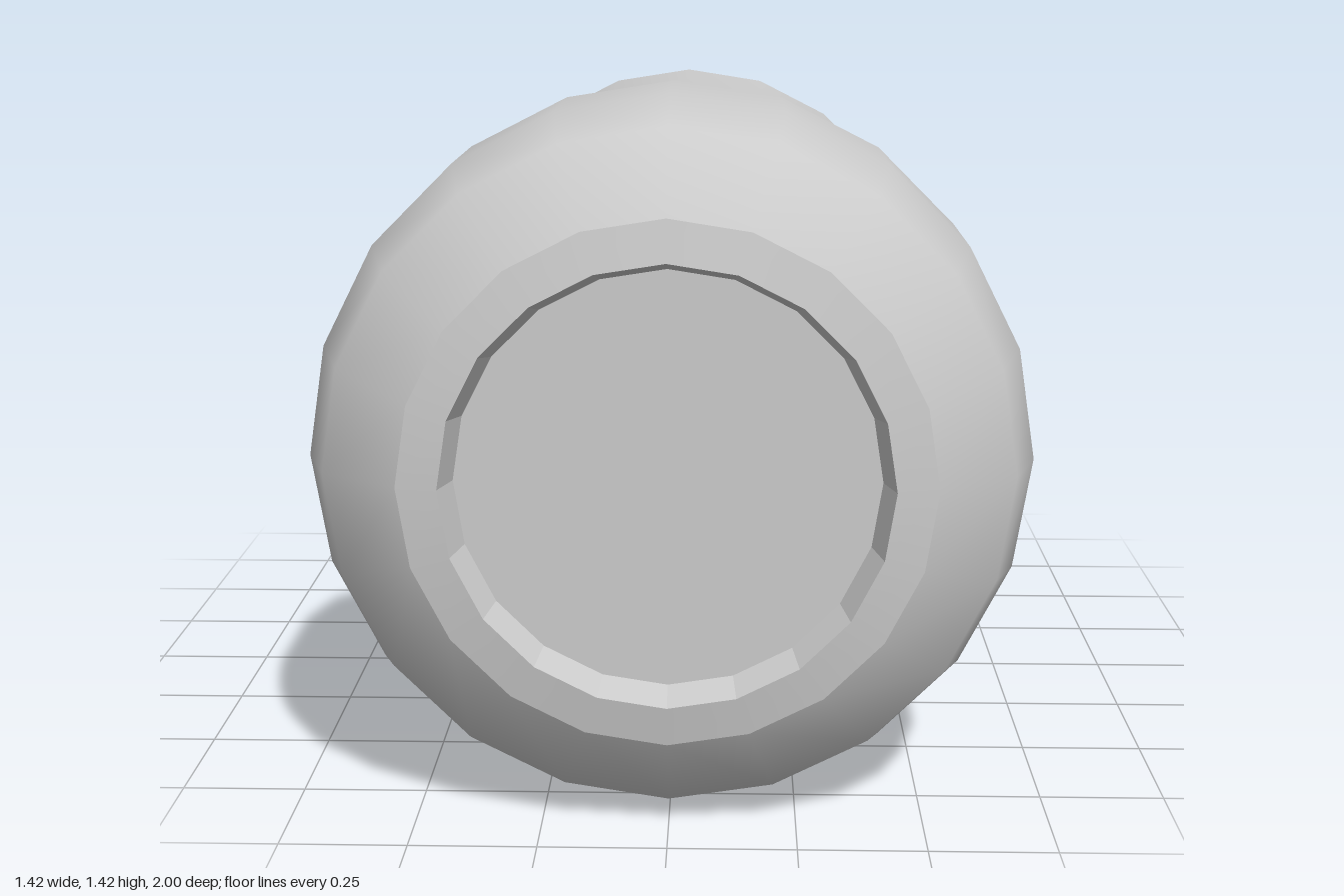
import * as THREE from 'three';

const SIDES = 20;
const CENTRE_Y = 0.713;

// Revolves [radius, z] points around the z axis, listed from back to front.
function turned(name, profile, flatShading = false) {
  const geometry = new THREE.LatheGeometry(profile.map(([r, z]) => new THREE.Vector2(r, z)), SIDES);
  geometry.rotateX(Math.PI / 2);
  const mesh = new THREE.Mesh(geometry, new THREE.MeshStandardMaterial({ color: 0xcccccc, flatShading }));
  mesh.name = name;
  mesh.position.y = CENTRE_Y;
  return mesh;
}

export function createModel() {
  const model = new THREE.Group();
  model.name = 'collaredCylinder';

  // Each strip ends at a sharp edge; edges inside a strip are smooth.
  model.add(
    turned('backCap', [[0, -1], [0.63, -1]], true),
    // slightly tapered barrel, flaring out into the collar
    turned('barrel', [[0.63, -1], [0.62, 0.32], [0.71, 0.445]]),
    // rounded collar
    turned('collar', [[0.71, 0.445], [0.71, 0.75], [0.66, 0.885], [0.505, 0.985]]),
    // front ring around the recess
    turned('frontRim', [[0.505, 0.985], [0.425, 1]]),
    // faceted recess wall and its flat floor
    turned('recess', [[0.425, 1], [0.404, 0.93], [0, 0.93]], true)
  );
  return model;
}
